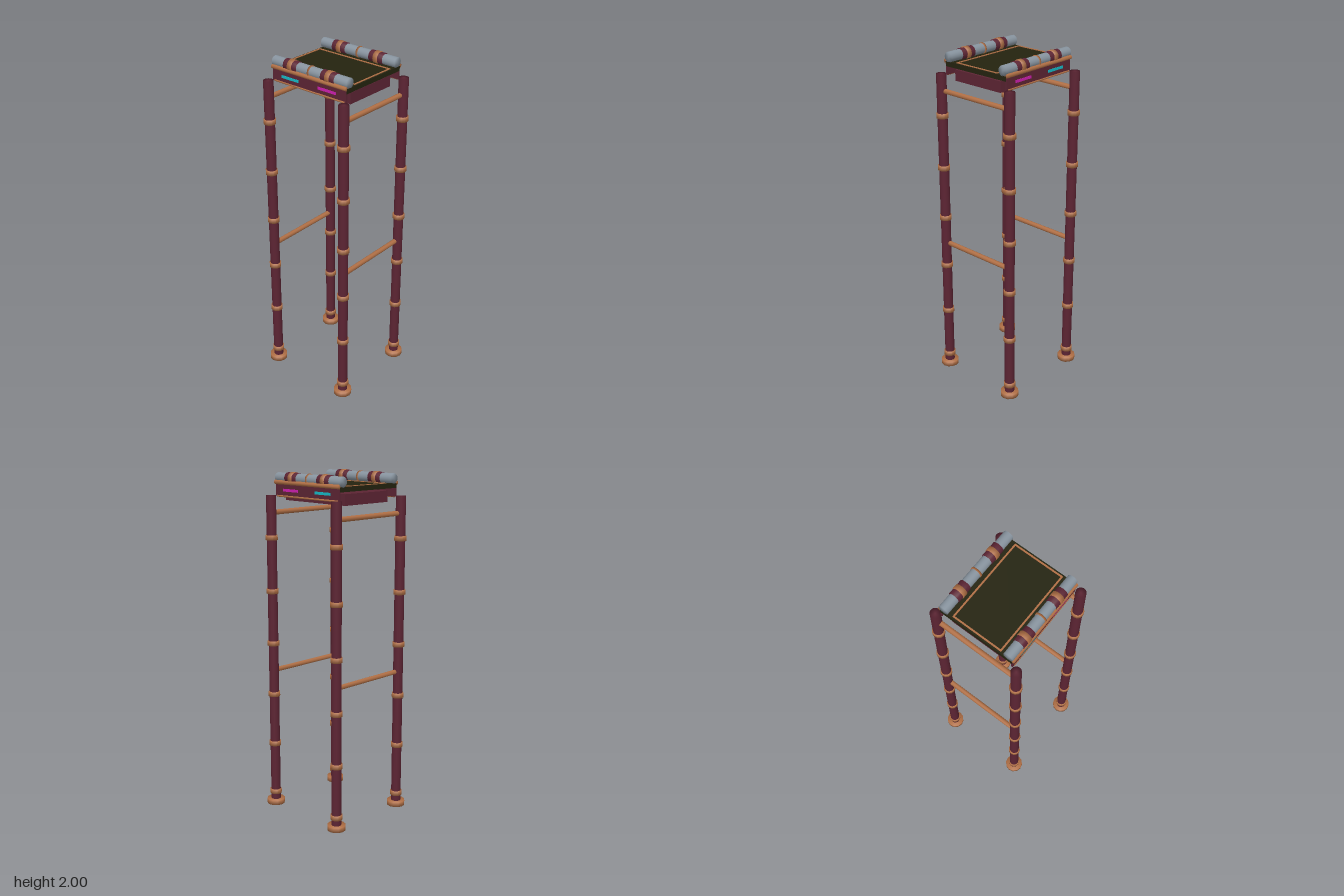
import * as THREE from 'three';
import { mergeVertices } from 'three/addons/utils/BufferGeometryUtils.js';

const mat = (name, color) => new THREE.MeshStandardMaterial({ name, color });

// Cylinder with normals smoothed over the rims of its caps
function softCylinder(radius, length, sides = 12) {
  let g = new THREE.CylinderGeometry(radius, radius, length, sides);
  g.deleteAttribute('uv');
  g.deleteAttribute('normal');
  g = mergeVertices(g, 1e-5);
  g.computeVertexNormals();
  return g;
}

export function createModel() {
  const model = new THREE.Group();
  model.name = 'tallTable';

  const maroon = mat('maroon', 0x5c2433);
  const copper = mat('copper', 0xb06f45);
  const steel = mat('steel', 0x87939e);
  const olive = mat('darkOlive', 0x24230f);
  const cyan = mat('cyan', 0x16b8c4);
  const magenta = mat('magenta', 0xcc1fae);

  const add = (parent, name, geo, material, x, y, z) => {
    const m = new THREE.Mesh(geo, material);
    m.name = name;
    m.position.set(x, y, z);
    parent.add(m);
    return m;
  };
  const box = (parent, name, w, h, d, material, x, y, z) =>
    add(parent, name, new THREE.BoxGeometry(w, h, d), material, x, y, z);
  const rod = (parent, name, axis, r, len, material, x, y, z, sides = 12) => {
    const g = softCylinder(r, len, sides);
    if (axis === 'x') g.rotateZ(Math.PI / 2);
    if (axis === 'z') g.rotateX(Math.PI / 2);
    return add(parent, name, g, material, x, y, z);
  };

  // Four legs with feet and evenly spaced rings
  for (const sx of [-1, 1]) {
    for (const z of [-0.254, 0.251]) {
      const leg = new THREE.Group();
      leg.name = 'leg';
      leg.position.set(sx * 0.265, 0, z);
      model.add(leg);
      rod(leg, 'legPost', 'y', 0.0285, 1.858, maroon, 0, 0.939, 0, 16);
      rod(leg, 'foot', 'y', 0.0535, 0.03, copper, 0, 0.017, 0);
      for (let i = 0; i < 6; i++) {
        rod(leg, 'legRing', 'y', 0.035, 0.028, copper, 0, 0.08 + i * 0.31, 0);
      }
    }
    // Side rungs
    for (const y of [0.845, 1.772]) {
      rod(model, 'rung', 'z', 0.0145, 0.47, copper, sx * 0.263, y, -0.0015, 8);
    }
  }

  // Table top and the box below it
  box(model, 'tableTop', 0.518, 0.027, 0.44, olive, 0, 1.927, -0.0015);
  box(model, 'underBox', 0.48, 0.062, 0.332, maroon, 0, 1.869, 0.001);

  // Thin inlaid border on the table top
  for (const s of [-1, 1]) {
    box(model, 'inlayLong', 0.5, 0.004, 0.009, copper, 0, 1.942, -0.0025 + s * 0.145);
    box(model, 'inlayShort', 0.009, 0.004, 0.281, copper, s * 0.2455, 1.942, -0.0025);
  }

  // Front and back: apron, trims, light strips and a banded roller
  for (const s of [-1, 1]) {
    const side = new THREE.Group();
    side.name = s > 0 ? 'frontEdge' : 'backEdge';
    side.position.z = -0.0015;
    model.add(side);
    box(side, 'apron', 0.512, 0.07, 0.009, maroon, 0, 1.9, s * 0.219);
    rod(side, 'rim', 'x', 0.0125, 0.516, copper, 0, 1.942, s * 0.223, 8);
    rod(side, 'lowerTrim', 'x', 0.006, 0.49, copper, 0, 1.866, s * 0.221, 8);
    box(side, 'cyanStrip', 0.122, 0.015, 0.008, cyan, -0.13, 1.9, s * 0.2225);
    box(side, 'magentaStrip', 0.122, 0.015, 0.008, magenta, 0.128, 1.9, s * 0.2225);

    const rz = s * 0.198;
    const ry = 1.966;
    rod(side, 'roller', 'x', 0.029, 0.518, steel, 0, ry, rz, 16);
    rod(side, 'rollerMiddleRing', 'x', 0.0325, 0.01, copper, 0, ry, rz, 16);
    for (const x of [-0.13, 0.13]) {
      rod(side, 'rollerSleeve', 'x', 0.0325, 0.091, maroon, x, ry, rz, 16);
      rod(side, 'rollerBand', 'x', 0.0355, 0.029, copper, x, ry, rz, 16);
    }
  }
  return model;
}
